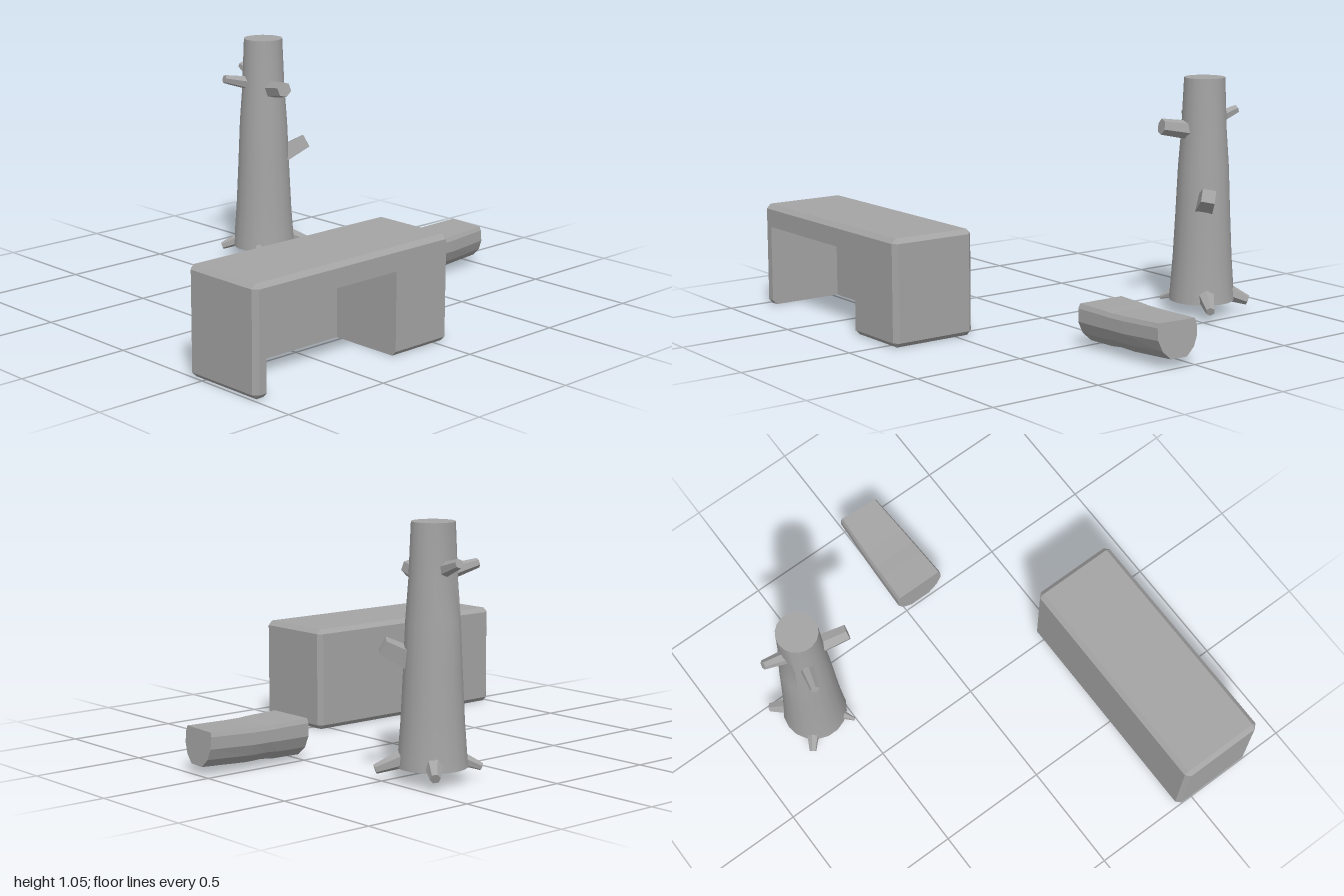
import * as THREE from 'three';
import { toCreasedNormals } from 'three/addons/utils/BufferGeometryUtils.js';

const grey = new THREE.MeshStandardMaterial({ color: 0xa4a4a4 });
grey.name = 'grey';

const V = (x, y, z) => new THREE.Vector3(x, y, z);

function flat(geometry) {
  const g = geometry.index ? geometry.toNonIndexed() : geometry;
  g.computeVertexNormals();
  return g;
}

function addMesh(parent, name, geometry) {
  const mesh = new THREE.Mesh(geometry, grey);
  mesh.name = name;
  parent.add(mesh);
  return mesh;
}

// Skin a list of matching loops along local y; each loop is counter-clockwise in (x, -z).
function loft(loops, capStart = true, capEnd = true) {
  const p = [];
  const tri = (a, b, c) => p.push(...a.toArray(), ...b.toArray(), ...c.toArray());
  for (let k = 0; k + 1 < loops.length; k++) {
    const a = loops[k], b = loops[k + 1], n = a.length;
    for (let i = 0; i < n; i++) {
      const j = (i + 1) % n;
      if (a[i].distanceTo(a[j]) > 1e-6) tri(a[i], a[j], b[j]);
      if (b[i].distanceTo(b[j]) > 1e-6) tri(a[i], b[j], b[i]);
    }
  }
  const cap = (loop, up) => {
    const pts = loop.filter((q, i) => q.distanceTo(loop[(i + 1) % loop.length]) > 1e-6);
    const faces = THREE.ShapeUtils.triangulateShape(pts.map(q => new THREE.Vector2(q.x, -q.z)), []);
    for (const [a, b, c] of faces) up ? tri(pts[a], pts[b], pts[c]) : tri(pts[c], pts[b], pts[a]);
  };
  if (capStart) cap(loops[0], false);
  if (capEnd) cap(loops[loops.length - 1], true);
  const g = new THREE.BufferGeometry();
  g.setAttribute('position', new THREE.Float32BufferAttribute(p, 3));
  return flat(g);
}

// Chamfered desk with a knee opening at the front
function buildDesk() {
  const desk = new THREE.Group();
  desk.name = 'desk';
  const x0 = -1, x1 = 0.066, z0 = 0.421, z1 = 0.816, c = 0.02, top = 0.46;
  const kneeL = -0.945, kneeR = -0.243, kneeBack = 0.475, kneeTop = 0.36;
  const section = (y, inset, notch) => {
    const e = c - inset; // corner cut left after the inset
    const L = x0 + inset, R = x1 - inset, B = z0 + inset, F = z1 - inset;
    const pts = [[L + e, F]];
    if (notch) pts.push([kneeL, F], [kneeL, kneeBack], [kneeR, kneeBack], [kneeR, F]);
    pts.push([R - e, F], [R, F - e], [R, B + e], [R - e, B], [L + e, B], [L, B + e], [L, F - e]);
    return pts.map(([x, z]) => V(x, y, z));
  };
  addMesh(desk, 'deskBody', loft([section(0, c, true), section(c, 0, true), section(kneeTop, 0, true)], true, false));
  addMesh(desk, 'deskTop', loft([section(kneeTop, 0, false), section(top - c, 0, false), section(top, c, false)], false, true));
  // underside of the top, inside the knee opening
  const ceiling = new THREE.PlaneGeometry(kneeR - kneeL, z1 - kneeBack);
  ceiling.rotateX(Math.PI / 2);
  ceiling.translate((kneeL + kneeR) / 2, kneeTop, (kneeBack + z1) / 2);
  addMesh(desk, 'kneeCeiling', ceiling);
  return desk;
}

// Tapered stub between two points
function stub(parent, name, a, b, ra, rb, sides = 6) {
  const dir = b.clone().sub(a);
  const g = new THREE.CylinderGeometry(rb, ra, dir.length(), sides);
  const mesh = addMesh(parent, name, flat(g));
  mesh.position.copy(a).add(b).multiplyScalar(0.5);
  mesh.quaternion.setFromUnitVectors(V(0, 1, 0), dir.normalize());
}

// Broken tree trunk with branch stubs and roots
function buildTree() {
  const tree = new THREE.Group();
  tree.name = 'tree';
  const cx = 0.342, cz = -0.632;
  const profile = [[0, 0.062], [0.146, 0.062], [0.142, 0.1], [0.131, 0.25], [0.121, 0.45],
    [0.112, 0.66], [0.1, 0.82], [0.09, 1.055], [0, 1.055]];
  const trunk = new THREE.LatheGeometry(profile.map(([r, y]) => new THREE.Vector2(r, y)), 18);
  const pos = trunk.attributes.position;
  for (let i = 0; i < pos.count; i++) {
    // narrow pinch under the rear branch
    if (pos.getZ(i) < -0.08 && Math.abs(pos.getY(i) - 0.82) < 0.01) pos.setZ(i, pos.getZ(i) + 0.014);
  }
  trunk.translate(cx, 0, cz);
  addMesh(tree, 'trunk', toCreasedNormals(trunk, 0.6));

  stub(tree, 'frontBranch', V(0.325, 0.825, -0.56), V(0.29, 0.847, -0.43), 0.042, 0.036);
  stub(tree, 'rightBranch', V(0.29, 0.845, -0.65), V(0.152, 0.878, -0.69), 0.034, 0.02);
  stub(tree, 'backBranch', V(0.345, 0.86, -0.68), V(0.362, 0.902, -0.805), 0.034, 0.02);
  stub(tree, 'lowBranch', V(0.38, 0.48, -0.6), V(0.507, 0.56, -0.515), 0.058, 0.042, 4);

  const roots = [[0.472, -0.79, 0.046, 0.022], [0.54, -0.505, 0.043, 0.02],
    [0.195, -0.515, 0.032, 0.008], [0.185, -0.755, 0.036, 0.016]];
  for (const [x, z, ra, rb] of roots) {
    const start = V(cx, 0.105, cz).lerp(V(x, 0.105, z), 0.4);
    stub(tree, 'root', start, V(x, 0.056, z), ra, rb);
  }
  return tree;
}

// Split log: half-round below, flat on top, lying along x
function buildLog() {
  const half = [[0.92, 1], [1, 0.88], [1, 0.55], [0.8, 0.25], [0.42, 0.02]];
  const outline = [...half, ...half.map(([w, h]) => [-w, h]).reverse()];
  // x, half width, bottom, top, end tilt
  const stations = [[0.505, 0.12, 0.018, 0.187, 0], [0.64, 0.115, 0.02, 0.185, 0],
    [0.7, 0.113, 0.027, 0.182, 0], [0.78, 0.109, 0.025, 0.183, 0], [0.99, 0.097, 0.037, 0.19, 0.007]];
  // local y runs along the log, local x points down
  const loops = stations.map(([x, w, lo, hi, tilt]) => outline.map(([u, h]) =>
    V(-(lo + (hi - lo) * h), x + tilt * (1 - 2 * h - u), 0.082 + u * w)));
  const g = loft(loops);
  g.rotateZ(-Math.PI / 2); // local y to +x, local -x to +y
  const log = new THREE.Group();
  log.name = 'log';
  addMesh(log, 'splitLog', flat(g));
  return log;
}

export function createModel() {
  const model = new THREE.Group();
  model.name = 'deskTreeAndLog';
  model.add(buildDesk(), buildTree(), buildLog());
  return model;
}
